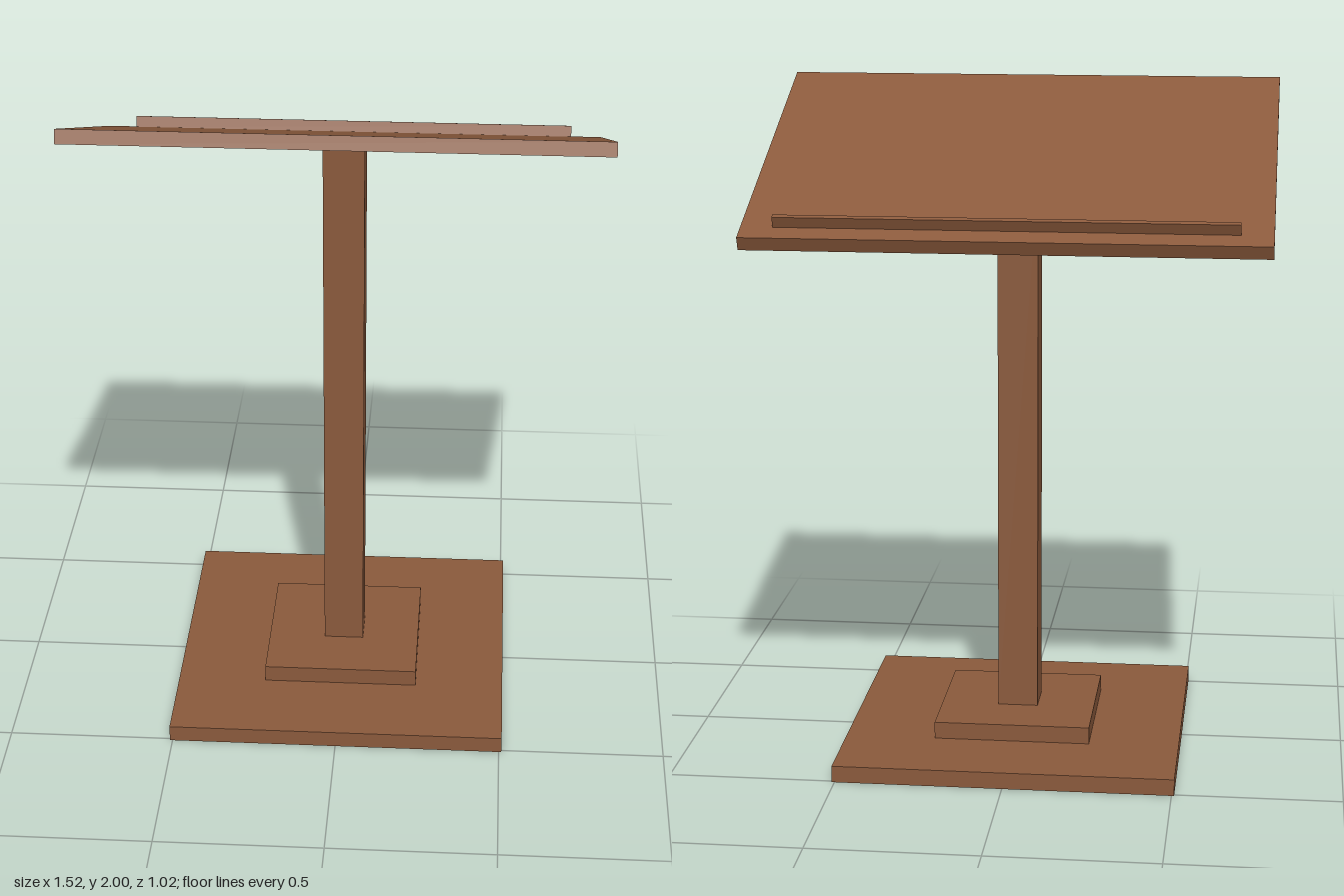
import * as THREE from 'three';

const TILT = 0.38;
const DESK_Y = 1.7925, DESK_Z = 0.0115, DESK_T = 0.0415;

export function createModel() {
  const model = new THREE.Group();
  model.name = 'lectern';
  const wood = new THREE.MeshStandardMaterial({ color: 0x8b5a3c, side: THREE.DoubleSide });
  wood.name = 'brown wood';

  const add = (parent, name, geometry, x, y, z) => {
    const mesh = new THREE.Mesh(geometry, wood);
    mesh.name = name;
    mesh.position.set(x, y, z);
    parent.add(mesh);
    return mesh;
  };
  const box = (parent, name, w, h, d, y, z = 0) =>
    add(parent, name, new THREE.BoxGeometry(w, h, d), 0, y, z);

  // Floor plate, hollow underneath: leave out the box's bottom face (4th group of 6 indices)
  const plate = new THREE.BoxGeometry(1.016, 0.05, 1.016);
  const index = Array.from(plate.index.array);
  index.splice(18, 6);
  plate.setIndex(index);
  plate.clearGroups();
  add(model, 'basePlate', plate, 0, 0.025, 0);

  // Collar around the foot of the post
  box(model, 'baseCollar', 0.472, 0.052, 0.486, 0.075);

  // Post, its top cut to the slope of the desk's underside
  const post = new THREE.BoxGeometry(0.122, 1, 0.122);
  const p = post.attributes.position;
  const underside = DESK_Y - DESK_T / 2 / Math.cos(TILT);
  for (let i = 0; i < p.count; i++) {
    const top = underside + (p.getZ(i) - DESK_Z) * Math.tan(TILT) + 0.002;
    p.setY(i, p.getY(i) > 0 ? top : 0.1);
  }
  post.computeVertexNormals();
  add(model, 'post', post, 0, 0, 0);

  // Sloping desk with a book ledge near its lower edge
  const desk = new THREE.Group();
  desk.name = 'desk';
  desk.position.set(0, DESK_Y, DESK_Z);
  desk.rotation.x = -TILT;
  box(desk, 'deskBoard', 1.524, DESK_T, 1.016, 0);
  box(desk, 'bookLedge', 1.336, 0.034, 0.016, DESK_T / 2 + 0.016, -0.44);
  model.add(desk);

  return model;
}
